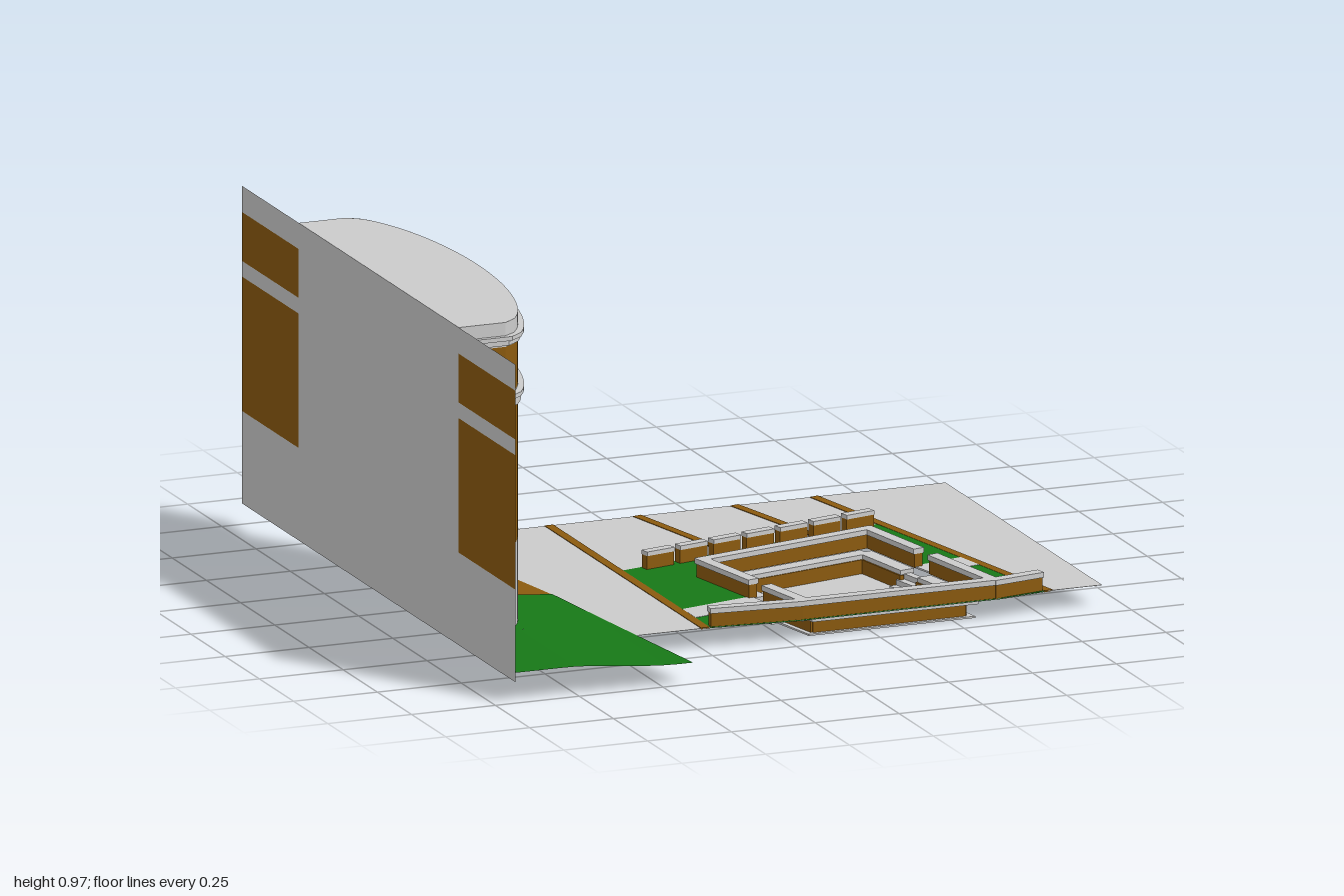
import * as THREE from 'three';

const GREY = 0xcccccc, BROWN = 0x8b5a0f, GREEN = 0x177817;
const mats = {};
const mat = (c) => (mats[c] ??= new THREE.MeshStandardMaterial({ color: c, side: THREE.DoubleSide }));

const BACK = -0.94, HALF = 0.585, ENTRY = 0.2;
// Plan curve of the bowed front: x for a given z
const bow = (z) => -0.8 + 0.155 * Math.pow(Math.max(0, 1 - (z / HALF) ** 2), 0.6);
const lerp = (a, b, t) => a.map((v, i) => v + (b[i] - v) * t);

export function createModel() {
  const root = new THREE.Group();
  let group = root;
  const section = (name) => {
    group = new THREE.Group();
    group.name = name;
    root.add(group);
  };
  const add = (name, geo, color) => {
    const m = new THREE.Mesh(geo, mat(color));
    m.name = name;
    group.add(m);
    return m;
  };

  // Surface through equal-length rows of points
  const loft = (name, rows, color) => {
    const n = rows[0].length, index = [];
    for (let r = 0; r < rows.length - 1; r++)
      for (let i = 0; i < n - 1; i++) {
        const a = r * n + i, b = a + n;
        index.push(a, a + 1, b, b, a + 1, b + 1);
      }
    const g = new THREE.BufferGeometry();
    g.setAttribute('position', new THREE.Float32BufferAttribute(rows.flat(2), 3));
    g.setIndex(index);
    g.computeVertexNormals();
    return add(name, g, color);
  };
  // Upright surface over a plan path of [x, z]
  const upright = (name, path, y0, y1, color) =>
    loft(name, [y0, y1].map((y) => path.map(([x, z]) => [x, y, z])), color);
  // Flat plate with a plan outline of [x, z]
  const slab = (name, pts, y0, y1, color, hole) => {
    const v = (p) => p.map(([x, z]) => new THREE.Vector2(x, z));
    const s = new THREE.Shape(v(pts));
    if (hole) s.holes.push(new THREE.Path(v(hole)));
    const g = new THREE.ExtrudeGeometry(s, { depth: y1 - y0, bevelEnabled: false });
    g.rotateX(Math.PI / 2).translate(0, y1, 0);
    return add(name, g, color);
  };
  // Box running between two plan points
  const run = (name, a, b, w, y0, y1, color, extra = 0) => {
    const dx = b[0] - a[0], dz = b[1] - a[1];
    const m = add(name, new THREE.BoxGeometry(Math.hypot(dx, dz) + extra, y1 - y0, w), color);
    m.position.set((a[0] + b[0]) / 2, (y0 + y1) / 2, (a[1] + b[1]) / 2);
    m.rotation.y = -Math.atan2(dz, dx);
  };
  const cappedRun = (name, a, b, w) => {
    run(name, a, b, w, 0.06, 0.1, BROWN, w * 0.8);
    run(name + 'Cap', a, b, w + 0.008, 0.1, 0.115, GREY, w);
  };

  // Rear wall: plain centre, banded wings
  section('rearWall');
  upright('wallCentre', [[BACK, -HALF], [BACK, HALF]], 0.06, 0.97, GREY);
  const bands = [[0.06, 0.325, GREY], [0.325, 0.71, BROWN], [0.71, 0.755, GREY], [0.755, 0.895, BROWN], [0.895, 0.97, GREY]];
  for (const s of [-1, 1])
    for (const [y0, y1, c] of bands) upright('wallBand', [[BACK, s * HALF], [BACK, s]], y0, y1, c);

  // Bowed front: columns by z, rows by y, windows and glazed centre in grey
  section('bowedFront');
  const arc = (z0, z1, off = 0) => {
    const n = Math.max(4, Math.ceil((z1 - z0) / 0.03));
    return Array.from({ length: n + 1 }, (_, i) => {
      const z = z0 + ((z1 - z0) * i) / n;
      return [bow(z) + off, z * (1 + off / HALF)];
    });
  };
  const rows = [0.06, 0.325, 0.35, 0.51, 0.57, 0.71, 0.725, 0.765, 0.89, 0.9, 0.97];
  const cols = [-HALF, -0.495, -0.3, -ENTRY, ENTRY, 0.3, 0.495, HALF];
  for (let r = 0; r < rows.length - 1; r++) {
    const plain = [0, 6, 9].includes(r), windowRow = [2, 4, 7].includes(r);
    const base = plain ? GREY : BROWN;
    for (let c = 0; c < cols.length - 1; c++) {
      if (c === 3 && r < 3) continue;
      const glass = ((c === 1 || c === 5) && windowRow) || (c === 3 && [3, 4, 7].includes(r));
      upright(glass ? 'window' : 'frontPanel', arc(cols[c], cols[c + 1]), rows[r], rows[r + 1], glass ? GREY : base);
    }
    for (const s of [-1, 1])
      upright('sidePanel', [[BACK, s * HALF], [-0.8, s * HALF]], rows[r], rows[r + 1], base);
  }
  const outline = (off) => [[BACK, -HALF - off], ...arc(-HALF, HALF, off), [BACK, HALF + off]];
  slab('roof', outline(0), 0.968, 0.97, GREY);
  for (const [y0, y1, off] of [[0.725, 0.75, 0.007], [0.75, 0.762, 0.014], [0.905, 0.92, 0.007], [0.92, 0.932, 0.014]])
    slab('cornice', [...outline(off), ...outline(-0.002).reverse()], y0, y1, GREY);

  // Entrance recess
  section('entrance');
  for (const s of [-1, 1]) {
    const side = [[BACK, s * ENTRY], [bow(ENTRY), s * ENTRY]];
    upright('recessSide', side, 0.06, 0.325, GREY);
    upright('recessSideUpper', side, 0.325, 0.51, BROWN);
  }
  slab('recessCeiling', [[BACK, -ENTRY], ...arc(-ENTRY, ENTRY), [BACK, ENTRY]], 0.51, 0.513, GREY);

  // Sloping lawns and entrance path beside the building
  section('lawns');
  const edgeX = (z) => (z > 0.2 ? -0.505 + (z - 0.2) * 0.119 : -0.505 + (z - 0.2) * 0.17);
  const terrain = (name, z0, z1, left, rise, color) => {
    const grid = [];
    for (let j = 0; j <= 10; j++) {
      const z = z0 + ((z1 - z0) * j) / 10, x0 = left(z), x1 = edgeX(z);
      grid.push(Array.from({ length: 13 }, (_, i) => {
        const x = x0 + ((x1 - x0) * i) / 12;
        return [x, 0.061 + rise * (1 - THREE.MathUtils.smoothstep(x, -0.8, -0.45)), z];
      }));
    }
    loft(name, grid, color);
  };
  terrain('frontLawn', HALF, 1, () => BACK, 0.026, GREEN);
  terrain('sideLawn', ENTRY, HALF, bow, 0.026, GREEN);
  terrain('rearLawn', -0.465, -ENTRY, bow, 0.026, GREEN);
  terrain('entrancePath', -ENTRY, ENTRY, () => BACK, 0.002, BROWN);

  // Paved ground, planted plot, strips and paths
  section('plaza');
  const ring = [[-0.053, 0.192], [0.493, 0.068], [0.61, 0.69], [0.045, 0.69]];
  const pit = [[0.005, 0.23], [0.45, 0.13], [0.545, 0.645], [0.09, 0.645]];
  const ledge = ring.map((p, i) => lerp(p, pit[i], 0.62));
  const front = [[0.78, 0.68], [0.63, 0.705], [0.03, 0.705], [-0.23, 0.68]];
  slab('paving', [[edgeX(-0.465), -0.465], [0.94, -0.465], [0.94, 0.68], ...front, [edgeX(0.68), 0.68], [edgeX(0.2), 0.2]], 0.0595, 0.0605, GREY, ring);
  slab('plantedPlot', [[-0.23, 0.045], [0.6, -0.135], ...front], 0.0585, 0.0615, GREEN, ring);
  for (const [a, b] of [
    [[-0.243, -0.465], [-0.243, 0.68]],
    [[0.02, -0.465], [0.112, -0.03]],
    [[0.31, -0.465], [0.398, -0.092]],
    [[0.547, -0.465], [0.78, 0.68]],
  ]) run('brownStrip', a, b, 0.026, 0.0578, 0.0622, BROWN);
  slab('leftPath', [[-0.23, 0.48], [-0.005, 0.43], [0.014, 0.52], [-0.23, 0.575]], 0.0575, 0.0625, GREY);
  slab('rightPath', [[0.53, 0.308], [0.685, 0.272], [0.703, 0.362], [0.55, 0.398]], 0.0575, 0.0625, GREY);

  // Row of low blocks along the rear of the plot
  for (let i = 0; i < 7; i++) {
    const a = lerp([-0.168, 0.05], [0.595, -0.117], i / 7);
    const b = lerp([-0.168, 0.05], [0.595, -0.117], (i + 0.82) / 7);
    run('rearBlock', a, b, 0.024, 0.06, 0.1, BROWN);
    run('rearBlockCap', a, b, 0.028, 0.1, 0.112, GREY);
  }
  cappedRun('frontWallLeft', [-0.215, 0.667], [0.03, 0.692], 0.024);
  cappedRun('frontWallRight', [0.62, 0.692], [0.752, 0.667], 0.024);

  // Sunken court: parapet, ledge and pit wall, open where the steps enter
  section('sunkenCourt');
  slab('courtFloor', ledge, 0, 0.005, GREY);
  const openings = { 1: [0.385, 0.535], 3: [0.34, 0.52] };
  for (let i = 0; i < 4; i++) {
    const j = (i + 1) % 4, cut = openings[i];
    for (const [t0, t1] of cut ? [[0, cut[0]], [cut[1], 1]] : [[0, 1]]) {
      const part = (loop) => [lerp(loop[i], loop[j], t0), lerp(loop[i], loop[j], t1)];
      cappedRun('parapet', ...part(ring), 0.026);
      run('ledge', ...part(ledge), 0.044, 0.045, 0.058, GREY);
      run('pitWall', ...part(pit), 0.012, 0, 0.045, BROWN);
    }
  }
  const u = [0.977, -0.212], v = [0.212, 0.977];
  for (const [cx, cz, s] of [[0.012, 0.472, 1], [0.525, 0.353, -1]])
    for (let k = 0; k < 3; k++) {
      const d = s * 0.022 * (k + 0.5), x = cx + u[0] * d, z = cz + u[1] * d;
      run('step', [x - v[0] * 0.045, z - v[1] * 0.045], [x + v[0] * 0.045, z + v[1] * 0.045], 0.022, 0, 0.047 - 0.015 * k, GREY);
    }

  return root;
}
